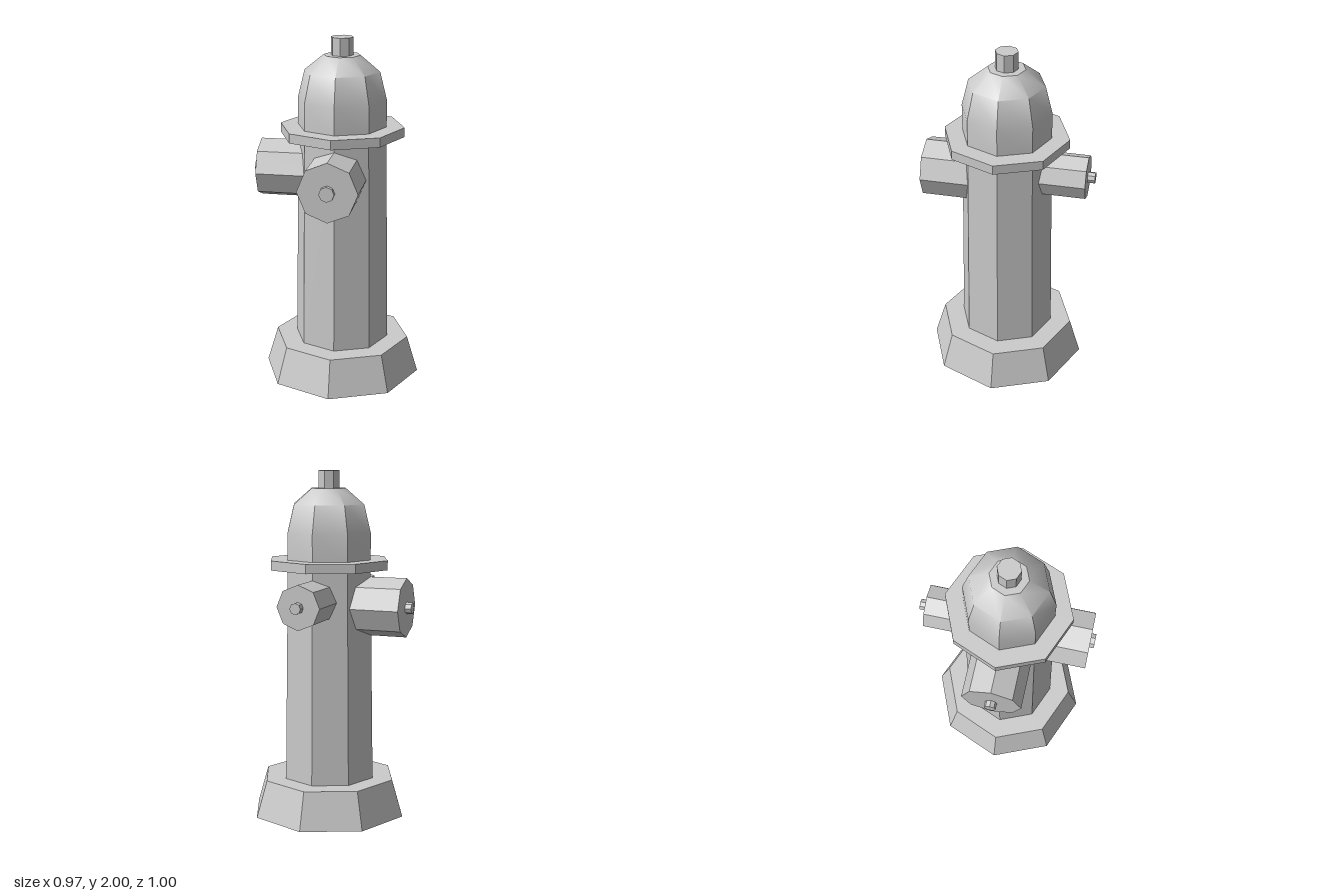
import * as THREE from 'three';
import { toCreasedNormals } from 'three/addons/utils/BufferGeometryUtils.js';

const SIDES = 8;
const flat = new THREE.MeshStandardMaterial({ color: 0xcccccc, flatShading: true });
const smooth = new THREE.MeshStandardMaterial({ color: 0xcccccc });

// Upright octagonal section between two heights
function section(name, rBottom, rTop, y0, y1) {
  const geometry = new THREE.CylinderGeometry(rTop, rBottom, y1 - y0, SIDES);
  geometry.translate(0, (y0 + y1) / 2, 0);
  const mesh = new THREE.Mesh(geometry, flat);
  mesh.name = name;
  return mesh;
}

// Horizontal outlet with a small bolt on its end, turned about y (0 = front)
function outlet(name, { y, radius, end, boltRadius, boltEnd, turn }) {
  const group = new THREE.Group();
  group.name = name;
  const parts = [['nozzle', radius, 0.1, end], ['bolt', boltRadius, end - 0.02, boltEnd]];
  for (const [part, r, from, to] of parts) {
    const geometry = new THREE.CylinderGeometry(r, r, to - from, SIDES);
    geometry.rotateX(Math.PI / 2).translate(0, 0, (from + to) / 2);
    const mesh = new THREE.Mesh(geometry, flat);
    mesh.name = part;
    group.add(mesh);
  }
  group.position.y = y;
  group.rotation.y = turn;
  return group;
}

export function createModel() {
  const model = new THREE.Group();
  model.name = 'hydrant';

  // Base, tapering barrel, flange and top nut
  model.add(
    section('base', 0.46, 0.395, 0, 0.215),
    section('barrel', 0.275, 0.255, 0.2, 1.46),
    section('flange', 0.357, 0.357, 1.443, 1.497),
    section('topNut', 0.064, 0.064, 1.88, 2),
  );

  // Dome: rounded along its height, creased at the lower corners
  const profile = [[0.255, 1.48], [0.255, 1.65], [0.215, 1.81], [0.105, 1.9], [0.02, 1.9]];
  const lathe = new THREE.LatheGeometry(profile.map(([r, y]) => new THREE.Vector2(r, y)), SIDES);
  const dome = new THREE.Mesh(toCreasedNormals(lathe, THREE.MathUtils.degToRad(38.5)), smooth);
  dome.name = 'dome';
  model.add(dome);

  // Outlets: front, right side and the smaller one at the back
  model.add(
    outlet('frontOutlet', { y: 1.233, radius: 0.169, end: 0.468, boltRadius: 0.043, boltEnd: 0.493, turn: 0 }),
    outlet('rightOutlet', { y: 1.233, radius: 0.169, end: 0.471, boltRadius: 0.033, boltEnd: 0.507, turn: -Math.PI / 2 }),
    outlet('backOutlet', { y: 1.27, radius: 0.126, end: 0.466, boltRadius: 0.032, boltEnd: 0.508, turn: Math.PI }),
  );

  // Shift the axis so the whole outline is centred
  for (const part of model.children) {
    part.position.x += 0.021;
    part.position.z += 0.007;
  }
  return model;
}
